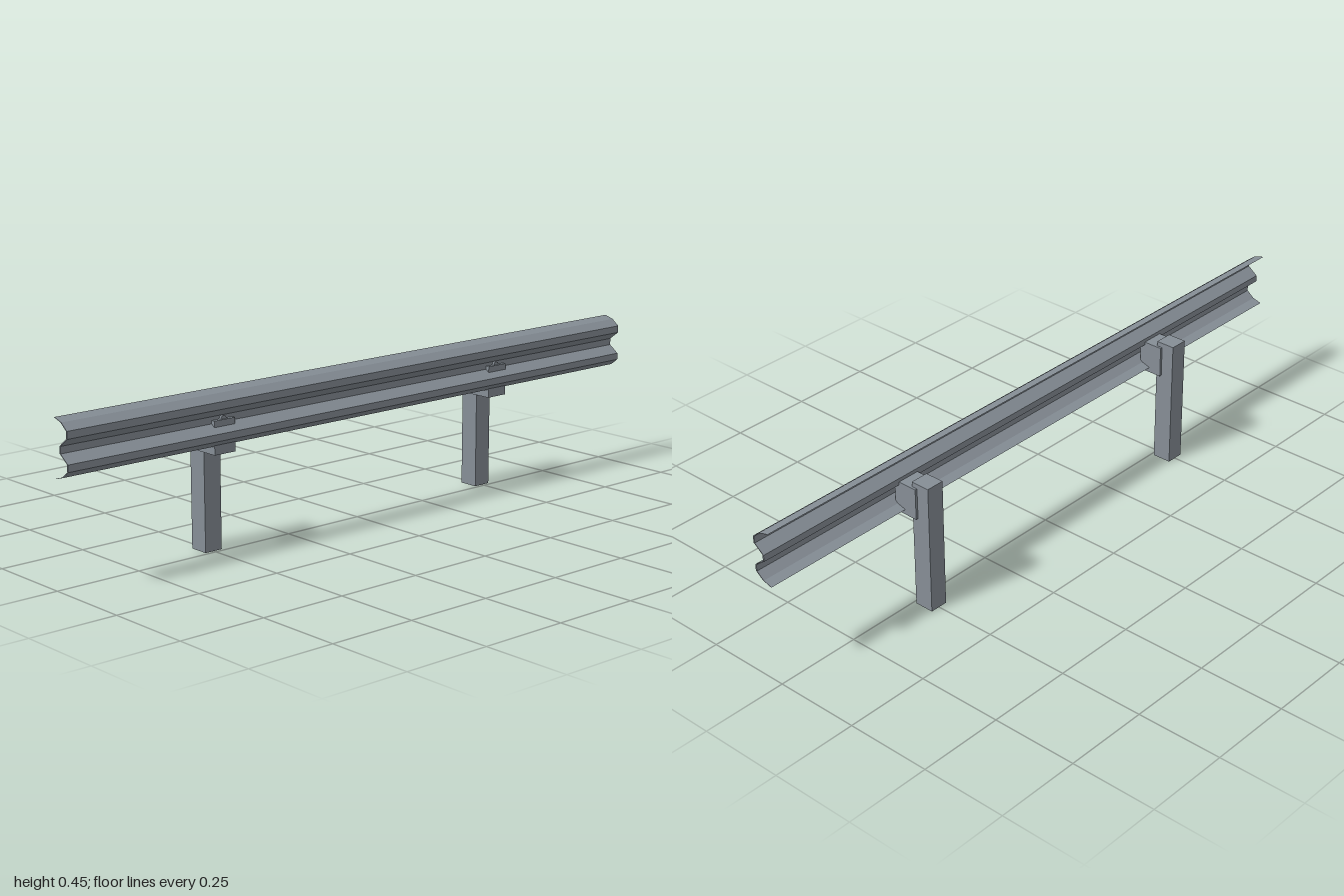
import * as THREE from 'three';

export function createModel() {
  const model = new THREE.Group();
  model.name = 'guardrail';
  const steel = new THREE.MeshStandardMaterial({ color: 0x868e96 });
  steel.name = 'galvanised steel';

  const add = (name, geometry, parent, x, y, z) => {
    const mesh = new THREE.Mesh(geometry, steel);
    mesh.name = name;
    mesh.position.set(x, y, z);
    parent.add(mesh);
    return mesh;
  };

  // W-shaped beam: front face of the section, closed by the same line set back
  const front = [
    [0.015, 0.446], [0.042, 0.438], [0.065, 0.42], [0.065, 0.4],
    [0.035, 0.377], [0.035, 0.358],
    [0.065, 0.336], [0.065, 0.317], [0.042, 0.299], [0.015, 0.291],
  ];
  const back = front.map(([x, y]) => [x - 0.004, y]).reverse();
  const section = new THREE.Shape([...front, ...back].map(([x, y]) => new THREE.Vector2(x, y)));
  const beam = new THREE.ExtrudeGeometry(section, { depth: 2, bevelEnabled: false });
  add('beam', beam, model, 0, 0, -1);

  // Posts with spacer blocks and bolt heads
  for (const z of [-0.5, 0.5]) {
    const support = new THREE.Group();
    support.name = z > 0 ? 'frontSupport' : 'backSupport';
    support.position.z = z;
    model.add(support);
    add('post', new THREE.BoxGeometry(0.057, 0.381, 0.054), support, -0.0375, 0.1905, 0);
    add('spacerBlock', new THREE.BoxGeometry(0.073, 0.091, 0.068), support, 0.0095, 0.3215, 0);
    const bolt = add('bolt', new THREE.CylinderGeometry(0.01, 0.01, 0.009, 8), support, 0.0375, 0.367, 0);
    bolt.rotation.z = -Math.PI / 2;
  }
  return model;
}
